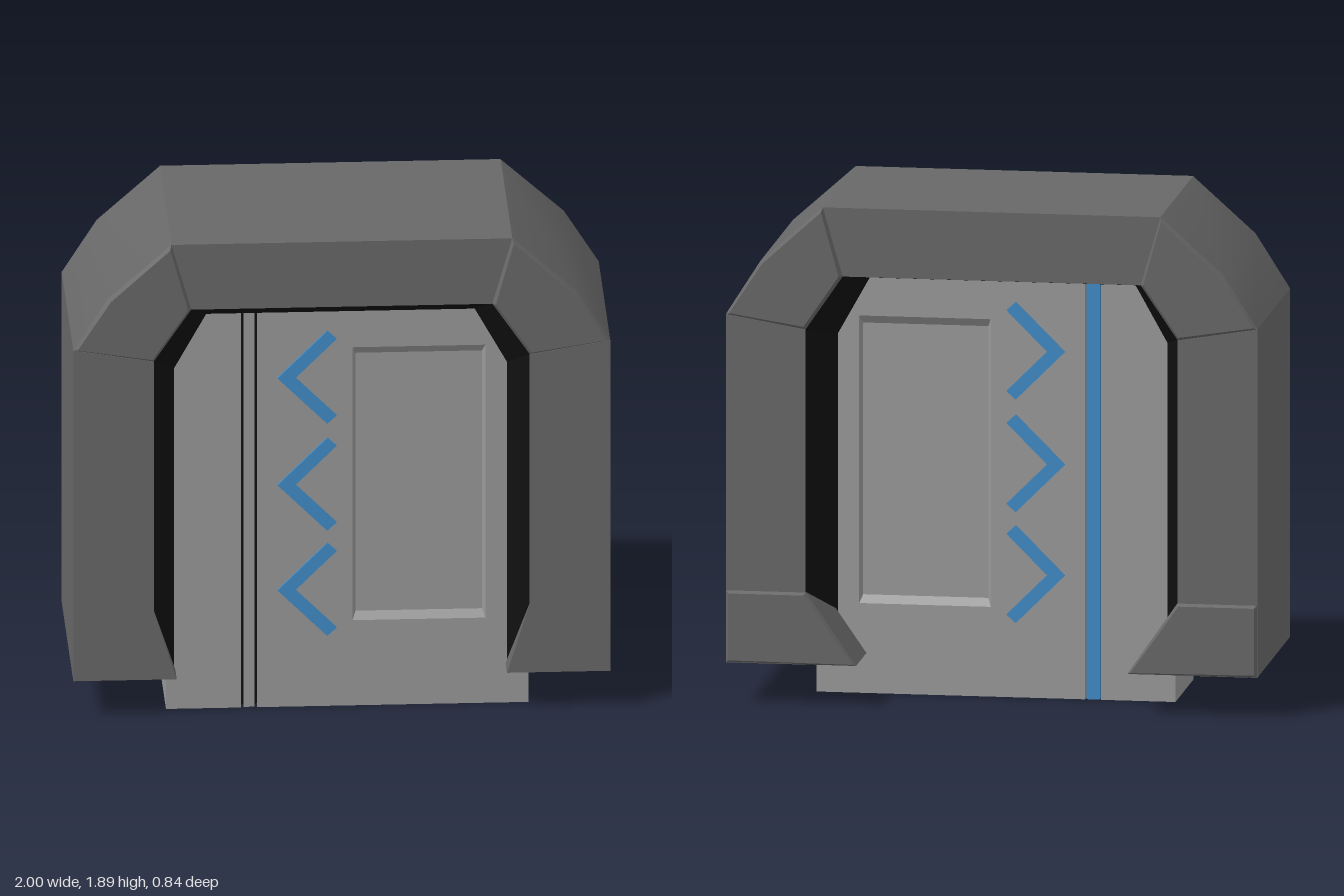
import * as THREE from 'three';
import { toCreasedNormals } from 'three/addons/utils/BufferGeometryUtils.js';

const mat = (color) => new THREE.MeshStandardMaterial({ color, side: THREE.DoubleSide });

export function createModel() {
  const root = new THREE.Group();
  const frameMat = mat(0x686868), liningMat = mat(0x101010);
  const doorMat = mat(0x999999), blueMat = mat(0x3f8cc8);
  const FRONT = 0.31, BACK = -0.13; // faces of the door

  const add = (name, geo, material, parent = root) => {
    const mesh = new THREE.Mesh(geo, material);
    mesh.name = name;
    parent.add(mesh);
    return mesh;
  };
  const shapeOf = (pts) => new THREE.Shape(pts.map(([x, y]) => new THREE.Vector2(x, y)));

  // Outline extruded from z0 to z1, optionally with a small chamfer on both faces
  const slab = (shape, z0, z1, chamfer = 0) => {
    const geo = new THREE.ExtrudeGeometry(shape, {
      depth: z1 - z0 - 2 * chamfer, bevelEnabled: chamfer > 0, bevelSegments: 1,
      bevelThickness: chamfer, bevelSize: chamfer * 0.6, bevelOffset: -chamfer * 0.6,
    });
    geo.translate(0, 0, z0 + chamfer);
    return toCreasedNormals(geo, 0.35);
  };
  const box = (x0, x1, y0, y1, z0, z1) =>
    new THREE.BoxGeometry(x1 - x0, y1 - y0, z1 - z0)
      .translate((x0 + x1) / 2, (y0 + y1) / 2, (z0 + z1) / 2);

  // Band of quads joining two outlines at different depths
  const band = (a, za, b, zb, closed) => {
    const pos = [];
    for (let i = 0; i < a.length - (closed ? 0 : 1); i++) {
      const j = (i + 1) % a.length;
      const p = [...a[i], za], q = [...a[j], za], r = [...b[j], zb], s = [...b[i], zb];
      if (zb < za) pos.push(...p, ...q, ...r, ...p, ...r, ...s);
      else pos.push(...p, ...r, ...q, ...p, ...s, ...r);
    }
    const geo = new THREE.BufferGeometry();
    geo.setAttribute('position', new THREE.Float32BufferAttribute(pos, 3));
    geo.computeVertexNormals();
    return geo;
  };

  // Frame: pillars, proud corner blocks and feet on both sides
  for (const s of [-1, 1]) {
    const side = s < 0 ? 'right' : 'left';
    const m = (pts) => shapeOf(pts.map(([x, y]) => [s * x, y]));
    add(`${side}Pillar`, slab(m([[0.7, 0.155], [1, 0.155], [1, 1.475], [0.7, 1.425]]), -0.405, 0.405), frameMat);
    add(`${side}Corner`, slab(m([[0.7, 1.425], [1, 1.475], [0.87, 1.68], [0.635, 1.89], [0.56, 1.63]]),
      -0.422, 0.422, 0.02), frameMat);
    add(`${side}FrontFoot`, slab(m([[0.7, 0.155], [0.7, 0.43], [0.615, 0.155]]), BACK, 0.405), frameMat);
    add(`${side}BackFoot`, slab(m([[1, 0.155], [1, 0.43], [0.7, 0.43], [0.51, 0.155]]),
      -0.42, BACK, 0.018), frameMat);
  }
  add('topBeam', slab(shapeOf([[-0.56, 1.63], [0.56, 1.63], [0.635, 1.89], [-0.635, 1.89]]), -0.405, 0.405), frameMat);

  // Dark lining sloping from the frame down to the door on both faces
  const rim = [[-0.7, 0.155], [-0.7, 1.425], [-0.56, 1.63], [0.56, 1.63], [0.7, 1.425], [0.7, 0.155]];
  const throat = [[-0.62, 0.155], [-0.62, 1.36], [-0.5, 1.575], [0.5, 1.575], [0.62, 1.36], [0.62, 0.155]];
  add('frontLining', band(rim, 0.4, throat, FRONT, false), liningMat);
  add('backLining', band(rim, -0.4, throat, BACK, false), liningMat);

  // Door: narrow leaf, wide leaf with a panel opening, seam between them
  const door = new THREE.Group();
  door.name = 'door';
  root.add(door);
  add('narrowLeaf', box(-0.65, -0.37, 0, 1.62, BACK, FRONT), doorMat, door);
  const rect = (x0, x1, y0, y1) => [[x0, y0], [x1, y0], [x1, y1], [x0, y1]];
  const opening = rect(0.045, 0.54, 0.34, 1.43);
  const recess = rect(0.057, 0.528, 0.37, 1.4);
  const wide = shapeOf(rect(-0.31, 0.7, 0, 1.62));
  wide.holes.push(shapeOf(opening));
  add('wideLeaf', slab(wide, BACK, FRONT), doorMat, door);
  add('seamCore', box(-0.37, -0.31, 0.002, 1.62, BACK + 0.03, FRONT - 0.03), liningMat, door);
  add('frontSeamStrip', box(-0.36, -0.32, 0, 1.62, 0.2, FRONT - 0.006), doorMat, door);
  add('backSeamStrip', box(-0.365, -0.315, 0, 1.62, BACK + 0.004, 0), blueMat, door);
  add('panelFloor', box(0.045, 0.54, 0.34, 1.43, BACK + 0.02, FRONT - 0.02), doorMat, door);

  // Panel bevels and arrow marks on both door faces
  for (const [label, z, out] of [['front', FRONT, 1], ['back', BACK, -1]]) {
    add(`${label}PanelBevel`, band(opening, z, recess, z - out * 0.02, true), doorMat, door);
    for (const y of [0.468, 0.888, 1.315]) {
      const chevron = shapeOf([[-0.235, y], [-0.05, y - 0.185], [-0.015, y - 0.153],
        [-0.168, y], [-0.015, y + 0.153], [-0.05, y + 0.185]]);
      add(`${label}Chevron`, slab(chevron, z - 0.01, z + 0.01), blueMat, door);
    }
  }
  return root;
}
